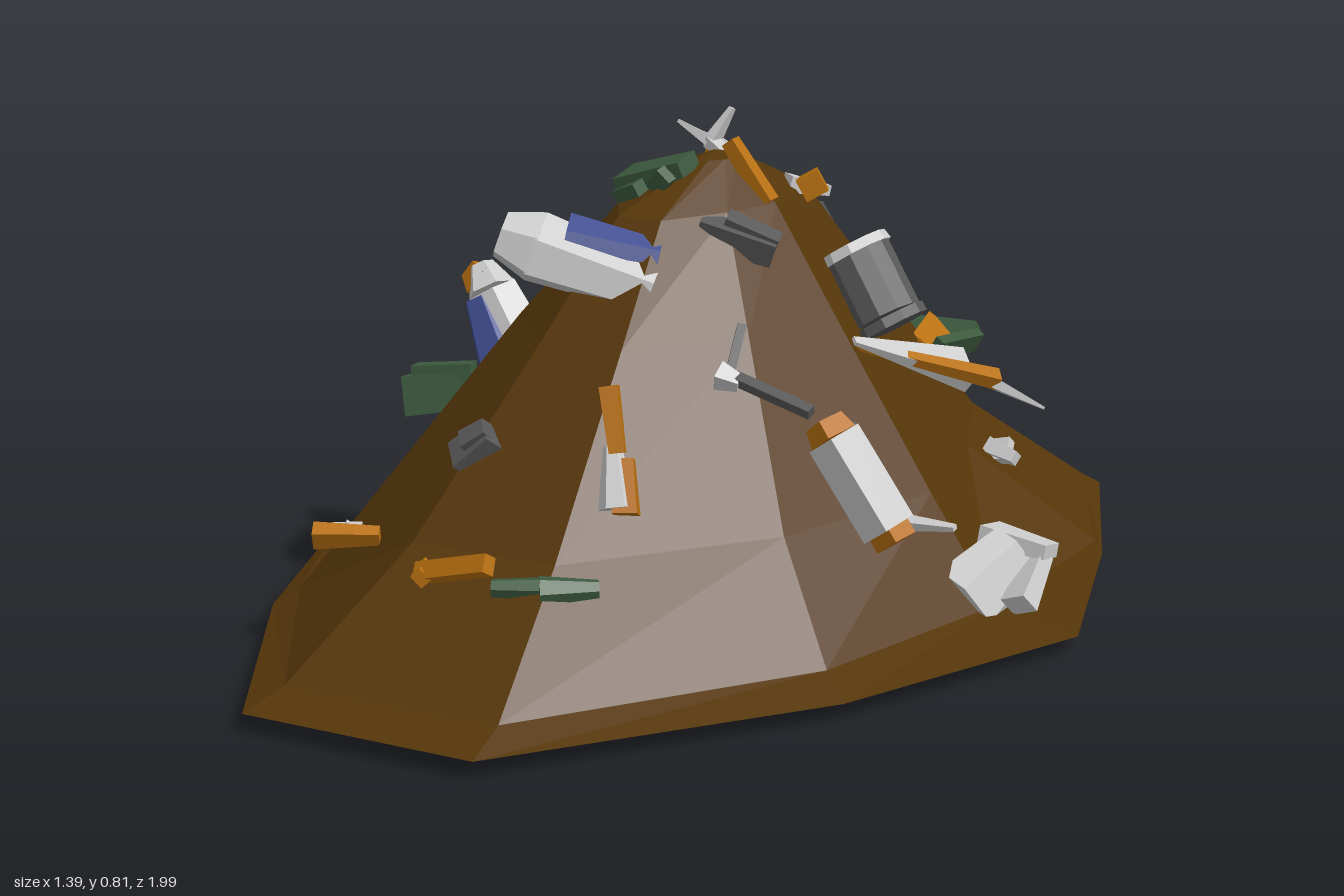
import * as THREE from 'three';

const BROWN = 0x553609, GREY = 0xcccccc, DARK = 0x585858, ORANGE = 0xb87010, GREEN = 0x3c5a3e, BLUE = 0x3f4d90;
const V = (p) => new THREE.Vector3(...p);

function material(color) {
  return new THREE.MeshStandardMaterial({ color, flatShading: true, side: THREE.DoubleSide });
}

// Mound: an irregular outline (x, z, bulge, skirt) shrunk ring by ring up to the summit
function mound() {
  const outline = [[-0.1, -1, 1, 0.9], [0.33, -0.81, 1, 0.95], [0.53, -0.43, 1.03, 0.98], [0.69, -0.03, 1, 0.78],
    [0.53, 0.44, 1.06, 0.88], [0.2, 0.94, 1, 0.91], [-0.21, 0.99, 1, 0.92], [-0.51, 0.59, 1.14, 0.94],
    [-0.7, 0.21, 1, 0.87], [-0.61, -0.45, 1, 0.96], [-0.34, -0.82, 1, 0.95]];
  // height, then scale towards +x, -x and along z
  const rings = [[0.02, 1, 1, 1], [0.045, 1, 1, 1], [0.22, 0.6, 0.65, 0.67],
    [0.5, 0.33, 0.38, 0.4], [0.68, 0.16, 0.22, 0.23], [0.75, 0.05, 0.05, 0.05]];
  const n = outline.length, pos = [], index = [];
  rings.forEach(([y, right, left, depth], r) => outline.forEach(([x, z, bulge, skirt]) => {
    const k = [1, skirt, bulge, bulge, 1, 1][r];
    pos.push(x * k * (x > 0 ? right : left), y, z * k * depth);
  }));
  const top = rings.length * n;
  pos.push(-0.01, 0.76, 0);
  for (let r = 0; r < rings.length; r++) {
    for (let i = 0; i < n; i++) {
      const a = r * n + i, b = r * n + (i + 1) % n;
      if (r === rings.length - 1) index.push(a, top, b);
      else index.push(a, a + n, b, b, a + n, b + n);
    }
  }
  const g = new THREE.BufferGeometry();
  g.setAttribute('position', new THREE.Float32BufferAttribute(pos, 3));
  g.setIndex(index);
  const flat = g.toNonIndexed();
  flat.computeVertexNormals();
  const mesh = new THREE.Mesh(flat, material(BROWN));
  mesh.name = 'mound';
  return mesh;
}

// A prism from a to b: w across the slope, h out of the slope, end b scaled by taper
function piece(name, a, b, w, h, color, taper = 1, sides = 4) {
  const from = V(a), to = V(b), mid = from.clone().add(to).multiplyScalar(0.5);
  const along = to.clone().sub(from), length = along.length();
  along.normalize();
  const out = new THREE.Vector3(mid.x * 1.6, 0.5, mid.z);
  const across = along.clone().cross(out).normalize();
  out.copy(across).cross(along);
  const r = sides === 4 ? Math.SQRT1_2 : 0.5;
  const geo = new THREE.CylinderGeometry(r * taper, r, 1, sides);
  geo.rotateY(Math.PI / sides);
  geo.scale(w, length, h);
  const mesh = new THREE.Mesh(geo, material(color));
  mesh.quaternion.setFromRotationMatrix(new THREE.Matrix4().makeBasis(across, along, out));
  mesh.position.copy(mid);
  mesh.name = name;
  return mesh;
}

export function createModel() {
  const model = new THREE.Group();
  model.add(mound());
  const cluster = (name, ...parts) => {
    const g = new THREE.Group();
    g.name = name;
    parts.forEach((p) => g.add(piece(...p)));
    model.add(g);
  };

  // Large broken hulls with blue canopies
  cluster('frontCockpit',
    ['hull', [-0.13, 0.64, 0.34], [0.04, 0.575, 0.25], 0.14, 0.11, GREY, 0.75, 6],
    ['nose', [-0.13, 0.64, 0.34], [-0.18, 0.66, 0.37], 0.14, 0.11, GREY, 0.65, 6],
    ['canopy', [-0.09, 0.66, 0.31], [0.04, 0.63, 0.23], 0.1, 0.06, BLUE, 0.6, 6]);
  cluster('sideCockpit',
    ['hull', [-0.28, 0.37, 0.17], [-0.36, 0.5, 0.17], 0.11, 0.13, GREY, 0.75, 6],
    ['canopy', [-0.31, 0.38, 0.2], [-0.37, 0.49, 0.19], 0.09, 0.1, BLUE, 0.6, 6],
    ['tail', [-0.36, 0.5, 0.17], [-0.39, 0.54, 0.16], 0.08, 0.09, GREY, 0.5, 6],
    ['cap', [-0.38, 0.51, 0.17], [-0.41, 0.53, 0.16], 0.05, 0.04, ORANGE, 0.7]);

  // Green panels and boxes
  cluster('summitPanel',
    ['panel', [-0.12, 0.71, 0.1], [0, 0.75, 0.09], 0.08, 0.035, GREEN, 0.8],
    ['stub', [-0.11, 0.69, 0.13], [-0.06, 0.71, 0.14], 0.03, 0.03, GREEN],
    ['hook', [-0.04, 0.71, 0.13], [-0.01, 0.74, 0.14], 0.02, 0.03, GREEN]);
  cluster('greenCrate',
    ['crate', [-0.49, 0.31, 0.25], [-0.35, 0.33, 0.18], 0.06, 0.07, GREEN, 0.9],
    ['lid', [-0.48, 0.35, 0.24], [-0.38, 0.36, 0.2], 0.04, 0.03, GREEN]);
  cluster('sideScrap',
    ['plate', [-0.48, 0.22, 0], [-0.43, 0.28, -0.1], 0.05, 0.04, GREEN],
    ['strip', [-0.49, 0.23, -0.04], [-0.42, 0.27, -0.05], 0.03, 0.05, ORANGE]);
  cluster('rearWedge',
    ['bar', [0.09, 0.36, -0.49], [0.22, 0.36, -0.51], 0.03, 0.04, GREEN],
    ['rail', [0.22, 0.35, -0.51], [0.21, 0.36, -0.38], 0.02, 0.04, GREEN],
    ['face', [0.16, 0.35, -0.5], [0.18, 0.36, -0.38], 0.1, 0.04, ORANGE, 0.5]);
  cluster('rearChip', ['chip', [-0.23, 0.48, -0.22], [-0.22, 0.43, -0.28], 0.03, 0.04, GREEN]);
  cluster('frontFins',
    ['finA', [0.05, 0.19, 0.7], [0.13, 0.19, 0.65], 0.03, 0.03, GREEN, 1.3, 6],
    ['finB', [0.12, 0.19, 0.67], [0.19, 0.19, 0.61], 0.05, 0.04, GREEN, 0.6, 6]);

  // Drum with a rim at each end
  cluster('drum',
    ['body', [0.25, 0.47, -0.14], [0.18, 0.57, -0.15], 0.13, 0.13, DARK, 1, 12],
    ['upperRim', [0.18, 0.57, -0.15], [0.17, 0.585, -0.15], 0.14, 0.14, GREY, 0.95, 12],
    ['lowerRim', [0.26, 0.455, -0.14], [0.25, 0.47, -0.14], 0.14, 0.14, DARK, 1, 12]);

  // Grey boxes with a raised lid
  [[[-0.65, 0.145, -0.02], [-0.53, 0.105, -0.01], 0.09, 0.04],
    [[0.05, 0.66, 0.13], [0.16, 0.62, 0.07], 0.06, 0.05],
    [[-0.13, 0.38, -0.52], [-0.05, 0.44, -0.475], 0.07, 0.06],
    [[-0.13, 0.32, 0.54], [-0.08, 0.37, 0.52], 0.06, 0.06]].forEach(([a, b, w, h]) => {
    const m = V(a).lerp(V(b), 0.3).add(V([0, 0.008, 0])).toArray();
    cluster('greyBox', ['box', a, b, w, h, DARK, 0.85], ['lid', m, b, w * 0.6, h * 1.2, DARK, 0.9]);
  });

  // Torn wings and slivers
  cluster('largeWing',
    ['leadingEdge', [0.42, 0.37, -0.23], [0.25, 0.45, -0.03], 0.03, 0.025, ORANGE, 0.4],
    ['skin', [0.36, 0.38, -0.22], [0.26, 0.46, -0.02], 0.075, 0.035, GREY, 0.2],
    ['tip', [0.37, 0.37, -0.24], [0.52, 0.34, -0.21], 0.04, 0.025, GREY, 0.2]);
  cluster('rearWing',
    ['skin', [0.02, 0.25, -0.62], [-0.03, 0.18, -0.78], 0.06, 0.03, GREY, 0.4],
    ['edge', [0.04, 0.25, -0.62], [0, 0.2, -0.73], 0.03, 0.04, ORANGE, 0.3]);
  cluster('rearSliver', ['blade', [-0.31, 0.22, -0.38], [-0.39, 0.22, -0.47], 0.05, 0.04, GREY, 0.4]);
  cluster('rearBracket',
    ['plate', [0.33, 0.2, -0.37], [0.39, 0.19, -0.36], 0.03, 0.03, GREY, 0.7],
    ['tab', [0.35, 0.21, -0.39], [0.36, 0.18, -0.36], 0.02, 0.03, GREY]);
  cluster('rearRod', ['rod', [0, 0.61, -0.31], [0, 0.53, -0.38], 0.02, 0.02, DARK]);

  // Crumpled white shell at the foot of the slope
  cluster('whiteShell',
    ['shell', [0.5, 0.05, 0.01], [0.54, 0.12, -0.09], 0.15, 0.1, GREY, 0.75, 6],
    ['upperFlap', [0.48, 0.14, -0.1], [0.6, 0.13, -0.1], 0.07, 0.035, GREY, 0.7],
    ['outerFlap', [0.59, 0.06, -0.01], [0.58, 0.12, -0.1], 0.04, 0.05, GREY, 0.7],
    ['lowerFlap', [0.47, 0.04, 0.02], [0.53, 0.025, 0.04], 0.05, 0.03, GREY, 0.7]);

  // Engine block with orange ends
  cluster('engine',
    ['block', [0.44, 0.21, 0.16], [0.34, 0.35, 0.17], 0.07, 0.06, GREY],
    ['topCap', [0.34, 0.35, 0.17], [0.32, 0.375, 0.17], 0.065, 0.05, ORANGE, 0.8],
    ['bottomCap', [0.455, 0.19, 0.16], [0.44, 0.21, 0.16], 0.05, 0.05, ORANGE],
    ['fin', [0.42, 0.21, 0.12], [0.54, 0.22, 0.12], 0.03, 0.02, GREY, 0.4],
    ['pipe', [0.42, 0.25, 0.125], [0.34, 0.36, 0.135], 0.02, 0.03, DARK]);

  // Bent rods with a joint
  cluster('bentRods',
    ['longRod', [0.21, 0.46, 0.28], [0.36, 0.42, 0.27], 0.018, 0.018, DARK],
    ['shortRod', [0.21, 0.46, 0.28], [0.18, 0.52, 0.2], 0.015, 0.015, DARK],
    ['joint', [0.195, 0.46, 0.29], [0.23, 0.45, 0.28], 0.035, 0.035, GREY, 0.6]);

  // Crossed blades and orange scraps at the summit
  cluster('propeller',
    ['bladeA', [-0.11, 0.74, -0.14], [-0.18, 0.77, -0.14], 0.03, 0.02, GREY, 0.3],
    ['bladeB', [-0.11, 0.74, -0.14], [-0.08, 0.8, -0.16], 0.03, 0.02, GREY, 0.4],
    ['bladeC', [-0.11, 0.74, -0.14], [-0.1, 0.7, -0.23], 0.03, 0.02, GREY, 0.3],
    ['bladeD', [-0.11, 0.74, -0.14], [-0.05, 0.72, -0.11], 0.03, 0.02, GREY, 0.4],
    ['hub', [-0.11, 0.65, -0.13], [-0.11, 0.74, -0.14], 0.035, 0.035, ORANGE, 0.6, 6]);
  cluster('summitScrap',
    ['blade', [0.1, 0.68, 0.0], [0.03, 0.78, 0.01], 0.03, 0.03, ORANGE, 0.8],
    ['block', [0.09, 0.68, -0.12], [0.12, 0.7, -0.14], 0.04, 0.04, ORANGE],
    ['pin', [0.06, 0.69, -0.12], [0.1, 0.67, -0.19], 0.03, 0.03, GREY, 0.6]);

  // Small orange and white parts on the front and side
  cluster('frontLever',
    ['arm', [0.14, 0.37, 0.49], [0.11, 0.47, 0.47], 0.025, 0.025, ORANGE, 1.2],
    ['foot', [0.16, 0.29, 0.52], [0.13, 0.38, 0.49], 0.06, 0.05, GREY, 0.5, 6],
    ['pad', [0.17, 0.28, 0.51], [0.15, 0.36, 0.48], 0.04, 0.05, ORANGE, 0.6]);
  cluster('frontHandle',
    ['bar', [-0.37, 0.17, 0.55], [-0.31, 0.18, 0.62], 0.02, 0.02, GREY],
    ['endA', [-0.39, 0.16, 0.57], [-0.35, 0.16, 0.54], 0.03, 0.03, GREY],
    ['endB', [-0.35, 0.19, 0.66], [-0.26, 0.19, 0.6], 0.03, 0.035, ORANGE, 0.7]);
  cluster('frontStrip',
    ['strip', [-0.07, 0.2, 0.73], [0.07, 0.24, 0.73], 0.03, 0.025, ORANGE],
    ['hook', [-0.08, 0.2, 0.7], [-0.05, 0.2, 0.75], 0.02, 0.025, ORANGE]);
  cluster('sideNozzle',
    ['nozzle', [-0.36, 0.39, 0.05], [-0.29, 0.43, 0.03], 0.06, 0.05, GREY, 0.6, 6],
    ['ring', [-0.33, 0.405, 0.04], [-0.31, 0.42, 0.035], 0.065, 0.055, ORANGE, 1, 6],
    ['spike', [-0.31, 0.43, 0.02], [-0.3, 0.47, -0.02], 0.02, 0.02, GREY, 0.4]);
  return model;
}
